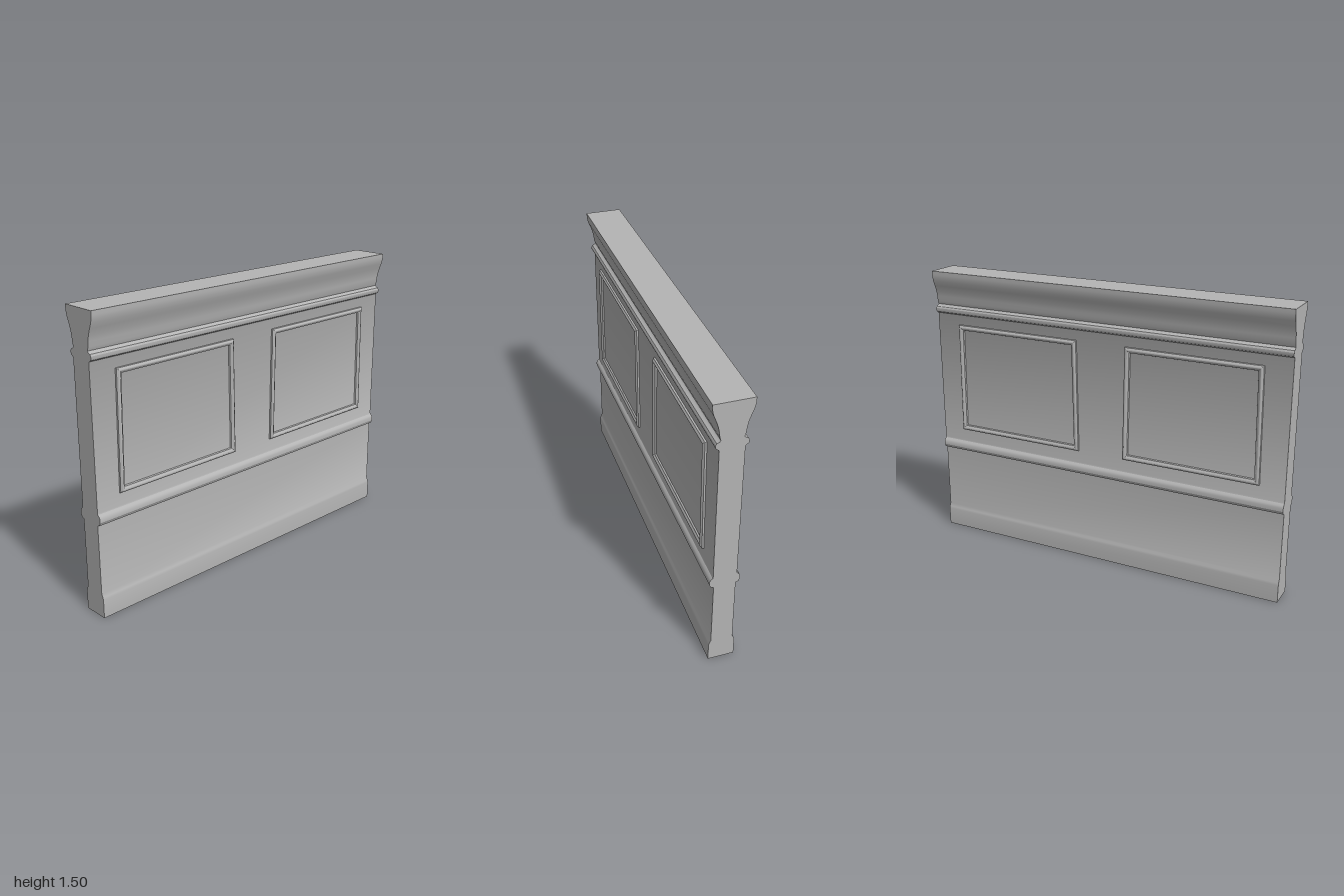
import * as THREE from 'three';
import { toCreasedNormals } from 'three/addons/utils/BufferGeometryUtils.js';

// Half of the wall section: [depth, height], bottom to top
const SECTION = [
  [0.066, 0], [0.066, 0.095], [0.063, 0.108], [0.055, 0.125], [0.054, 0.483],
  [0.068, 0.486], [0.071, 0.495], [0.075, 0.502], [0.075, 0.52], [0.07, 0.53], [0.06, 0.539],
  [0.058, 0.545], [0.058, 1.262], [0.06, 1.268], [0.072, 1.276], [0.075, 1.283],
  [0.075, 1.295], [0.07, 1.304], [0.058, 1.309], [0.052, 1.315],
  [0.058, 1.333], [0.061, 1.36], [0.066, 1.385], [0.077, 1.418],
  [0.088, 1.445], [0.093, 1.465], [0.095, 1.48], [0.095, 1.5],
];

// Frame moulding: [inset from outer edge, depth]
const MOULDING = [[0, 0.057], [0.001, 0.067], [0.005, 0.069], [0.008, 0.073], [0.013, 0.075],
  [0.018, 0.073], [0.022, 0.068], [0.027, 0.066], [0.03, 0.057]];

function wallGeometry() {
  const mirrored = SECTION.map(([d, y]) => [-d, y]).reverse();
  const shape = new THREE.Shape([...SECTION, ...mirrored].map(([d, y]) => new THREE.Vector2(d, y)));
  const g = new THREE.ExtrudeGeometry(shape, { depth: 2, bevelEnabled: false });
  g.translate(0, 0, -1);
  g.rotateY(Math.PI / 2);
  return toCreasedNormals(g, 0.5);
}

// Sweep the moulding round a slightly tapered rectangle with mitred corners
function frameGeometry() {
  const corners = [[-0.371, 0.61, 1, 1], [0.371, 0.61, -1, 1], [0.362, 1.213, -1, -1], [-0.362, 1.213, 1, -1]];
  const point = (c, k) => {
    const [x, y, sx, sy] = corners[c % 4];
    const [inset, z] = MOULDING[k];
    return [x + sx * inset, y + sy * inset, z];
  };
  const pos = [];
  for (let c = 0; c < 4; c++) {
    for (let k = 0; k < MOULDING.length - 1; k++) {
      const a = point(c, k), b = point(c + 1, k), d = point(c + 1, k + 1), e = point(c, k + 1);
      pos.push(...a, ...b, ...d, ...a, ...d, ...e);
    }
  }
  const g = new THREE.BufferGeometry();
  g.setAttribute('position', new THREE.Float32BufferAttribute(pos, 3));
  g.computeVertexNormals();
  return toCreasedNormals(g, 0.7);
}

export function createModel() {
  const model = new THREE.Group();
  model.name = 'panelledWall';
  const stone = new THREE.MeshStandardMaterial({ color: 0xb4b4b4 });
  stone.name = 'plain grey';

  // Wall body with plinth, rails and crown
  const wall = new THREE.Mesh(wallGeometry(), stone);
  wall.name = 'wall';
  model.add(wall);

  // Two raised panel frames on each face
  const frame = frameGeometry();
  for (const [side, turn] of [['front', 0], ['back', Math.PI]]) {
    const face = new THREE.Group();
    face.name = side + 'Frames';
    face.rotation.y = turn;
    for (const x of [-0.5, 0.5]) {
      const mesh = new THREE.Mesh(frame, stone);
      mesh.name = 'panelFrame';
      mesh.position.x = x;
      face.add(mesh);
    }
    model.add(face);
  }
  return model;
}
